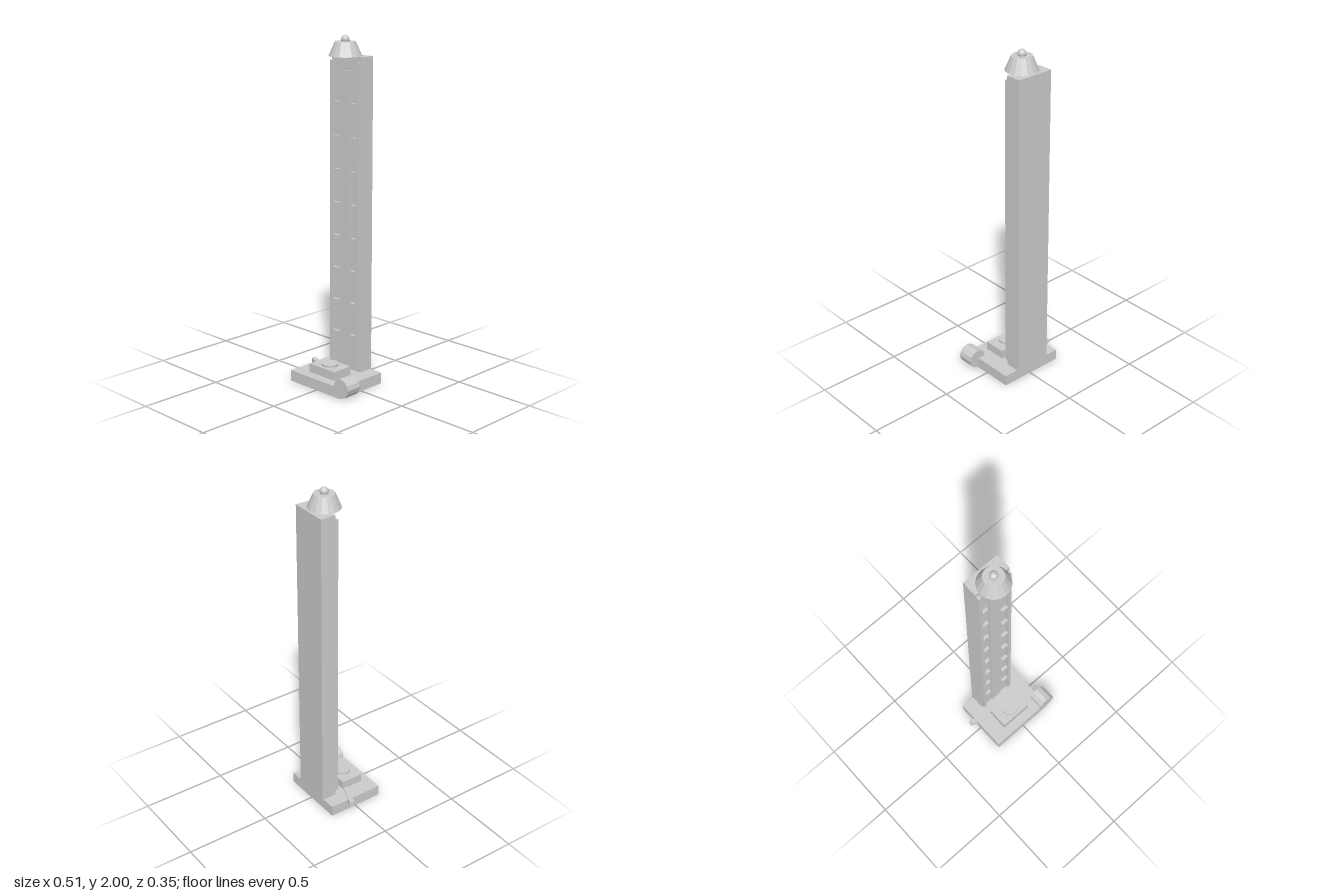
import * as THREE from 'three';

export function createModel() {
  const model = new THREE.Group();
  const grey = new THREE.MeshStandardMaterial({ color: 0xcccccc });
  grey.name = 'light grey';
  const flatGrey = grey;
  const CX = -0.0115; // centre line of tower and bell

  function add(name, geometry, x = 0, y = 0, z = 0) {
    const mesh = new THREE.Mesh(geometry, flatGrey);
    mesh.name = name;
    mesh.position.set(x, y, z);
    model.add(mesh);
    return mesh;
  }
  // Box given by its limits on each axis
  function box(name, x0, x1, y0, y1, z0, z1) {
    return add(name, new THREE.BoxGeometry(x1 - x0, y1 - y0, z1 - z0),
      (x0 + x1) / 2, (y0 + y1) / 2, (z0 + z1) / 2);
  }
  // Faceted cylinder or cone frustum
  function drum(rTop, rBottom, height, sides) {
    const g = new THREE.CylinderGeometry(rTop, rBottom, height, sides).toNonIndexed();
    g.computeVertexNormals();
    return g;
  }

  // Base and tower
  box('base', -0.211, 0.19, 0, 0.065, -0.167, 0.172);
  box('tower', -0.125, 0.102, 0.055, 1.885, -0.175, -0.083);

  // Raised centre track, side rails and height marks
  box('centreTrack', CX - 0.035, CX + 0.035, 0.09, 1.805, -0.09, -0.07);
  for (const side of [-1, 1]) {
    const span = (a, b) => [CX + side * a, CX + side * b].sort((p, q) => p - q);
    box('sideRail', ...span(0.089, 0.111), 0.09, 1.855, -0.09, -0.063);
    for (let i = 0; i < 8; i++) {
      const y = 0.275 + i * 0.1923;
      box('heightMark', ...span(0.048, 0.091), y - 0.008, y + 0.008, -0.09, -0.064);
    }
  }

  // Bell with a ball on top
  add('bell', drum(0.058, 0.093, 0.08, 16), CX, 1.925, -0.073);
  add('bellBall', new THREE.SphereGeometry(0.024, 20, 14), CX, 1.976, -0.073);

  // Striking block and round pad
  box('strikeBlock', -0.112, 0.089, 0.06, 0.117, -0.017, 0.115);
  add('strikePad', new THREE.CylinderGeometry(0.049, 0.049, 0.03, 32), CX, 0.115, 0.049);

  // Mallet: head lying along z, handle crossing the base
  const head = add('malletHead', drum(0.056, 0.056, 0.096, 12), 0.197, 0.064, 0.124);
  head.rotation.x = Math.PI / 2;
  const from = new THREE.Vector3(-0.25, 0.059, -0.053);
  const to = new THREE.Vector3(0.197, 0.05, 0.12);
  const handle = add('malletHandle', new THREE.BoxGeometry(0.028, 0.028, from.distanceTo(to)));
  handle.position.copy(from).lerp(to, 0.5);
  handle.lookAt(to);

  return model;
}
